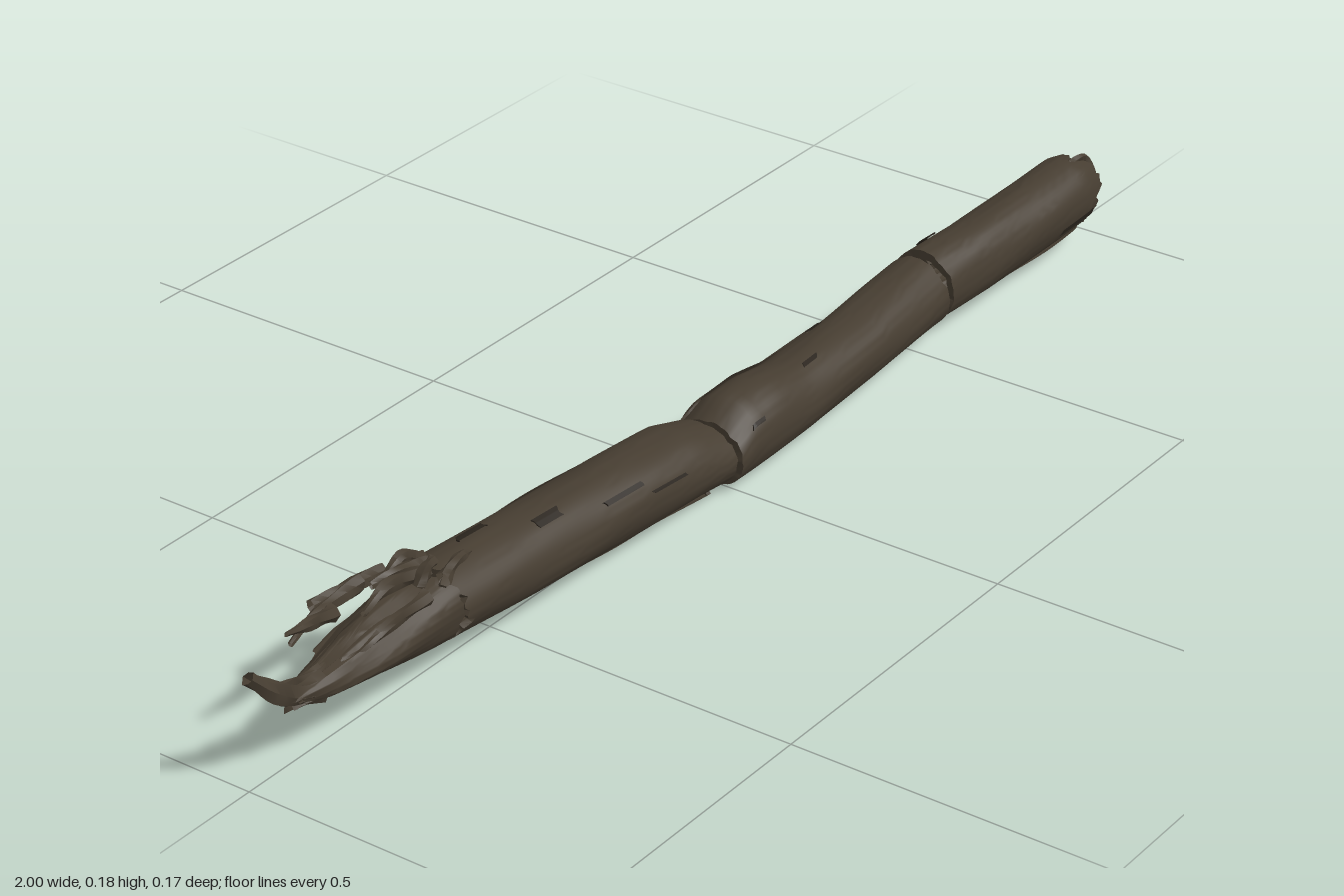
import * as THREE from 'three';
import { toCreasedNormals } from 'three/addons/utils/BufferGeometryUtils.js';

const bark = new THREE.MeshStandardMaterial({ color: 0x463d31, side: THREE.DoubleSide });
bark.name = 'charred bark';
const char = new THREE.MeshStandardMaterial({ color: 0x2a241d, side: THREE.DoubleSide });
char.name = 'dark crevice';

const TAU = Math.PI * 2;

// Smooth noise that closes around the trunk
function wave(a, x, s) {
  return (Math.sin(2 * a + s + 5 * x) + Math.sin(3 * a - 2.1 * s + 13 * x) * 0.8
    + Math.sin(5 * a + 3.7 * s - 21 * x) * 0.6) / 2.4;
}

// Jagged noise for broken ends
function jag(a, s) {
  return (Math.sin(3 * a + s) + Math.sin(8 * a + 2 * s) * 0.8 + Math.sin(17 * a + 3 * s) * 0.7) / 2.5;
}

// Interpolated section: stations are [x, bottom, top, zBack, zFront]
function section(st, x) {
  let i = 0;
  while (i < st.length - 2 && x > st[i + 1][0]) i++;
  const [p, q] = [st[i], st[i + 1]];
  let t = THREE.MathUtils.clamp((x - p[0]) / (q[0] - p[0]), 0, 1);
  return [1, 2, 3, 4].map(k => p[k] + (q[k] - p[k]) * t);
}

// Hollow shell over an angle range; angle 0 is the front, a quarter turn is the top
function shell(name, st, o = {}) {
  const { from = 0, to = TAU, x0 = st[0][0], x1 = st[st.length - 1][0], thick = 0.012,
    lift = 0, ragL = 0.004, ragR = 0.004, slant = 0, seed = 1, rough = 0.0022,
    nx = 28, na = 56, material = bark } = o;
  const rows = 2 * (nx + 1) + 1, pos = [], idx = [];
  for (let j = 0; j <= na; j++) {
    const a = from + (to - from) * j / na;
    const left = x0 + ragL * jag(a, seed), right = x1 + ragR * jag(a, seed + 4) - slant * Math.sin(a);
    for (let r = 0; r < rows; r++) {
      const k = r % (rows - 1), inner = k > nx;
      const u = inner ? 2 * nx + 1 - k : k;
      const x = left + (right - left) * u / nx;
      const [b, t, zb, zf] = section(st, x);
      const d = lift + rough * (wave(a, x, inner ? seed + 2 : seed) - 0.5) - (inner ? thick : 0);
      pos.push(x, (b + t) / 2 + ((t - b) / 2 + d) * Math.sin(a),
        (zb + zf) / 2 + ((zf - zb) / 2 + d) * Math.cos(a));
    }
  }
  for (let j = 0; j < na; j++) for (let r = 0; r < rows - 1; r++) {
    const p = j * rows + r, q = p + rows;
    idx.push(p, p + 1, q + 1, p, q + 1, q);
  }
  const g = new THREE.BufferGeometry();
  g.setAttribute('position', new THREE.Float32BufferAttribute(pos, 3));
  g.setIndex(idx);
  const m = new THREE.Mesh(toCreasedNormals(g, 0.7), material);
  m.name = name;
  return m;
}

// Tapered splinter along a curve, with end radii and a flattening across z
function splinter(name, pts, r0, r1, flat = 0.5, material = bark) {
  const curve = new THREE.CatmullRomCurve3(pts.map(p => new THREE.Vector3(...p)));
  const n = 10, sides = 6, g = new THREE.TubeGeometry(curve, n, 1, sides, false);
  const p = g.attributes.position, v = new THREE.Vector3();
  for (let i = 0; i < p.count; i++) {
    const t = Math.floor(i / (sides + 1)) / n, c = curve.getPointAt(t);
    const r = (r0 + (r1 - r0) * t) * (1 + 0.2 * Math.sin(i % (sides + 1) % sides * 2 + t * 9));
    v.fromBufferAttribute(p, i).sub(c).multiplyScalar(r);
    v.z *= flat;
    v.add(c);
    p.setXYZ(i, v.x, v.y, v.z);
  }
  g.deleteAttribute('normal');
  const m = new THREE.Mesh(toCreasedNormals(g, 0.6), material);
  m.name = name;
  return m;
}

export function createModel() {
  const model = new THREE.Group();
  model.name = 'brokenLog';

  // Outlines of the four trunk pieces
  const tip = [[-0.91, 0.088, 0.12, -0.015, 0.025], [-0.86, 0.075, 0.125, -0.035, 0.035],
    [-0.75, 0.056, 0.138, -0.065, 0.047], [-0.615, 0.04, 0.15, -0.08, 0.053]];
  const middle = [[-0.61, 0.038, 0.15, -0.083, 0.052], [-0.45, 0.024, 0.142, -0.081, 0.056],
    [-0.2, 0.012, 0.134, -0.073, 0.064], [-0.08, 0.008, 0.126, -0.066, 0.067],
    [-0.015, 0.007, 0.108, -0.058, 0.068]];
  const centre = [[-0.008, 0.005, 0.106, -0.052, 0.076], [0.03, 0.004, 0.129, -0.052, 0.079],
    [0.1, 0.006, 0.132, -0.051, 0.08], [0.18, 0.009, 0.12, -0.05, 0.078],
    [0.35, 0.014, 0.124, -0.05, 0.07], [0.55, 0.02, 0.137, -0.058, 0.059]];
  const end = [[0.565, 0.024, 0.138, -0.058, 0.058], [0.68, 0.027, 0.143, -0.048, 0.068],
    [0.85, 0.033, 0.153, -0.04, 0.075], [0.93, 0.036, 0.158, -0.036, 0.076],
    [0.985, 0.044, 0.145, -0.03, 0.064]];

  model.add(
    shell('middleTrunk', middle, { seed: 2, ragL: 0.022 }),
    shell('centreTrunk', centre, { seed: 5, slant: 0.005 }),
    shell('endTrunk', end, { seed: 8, x1: 0.968, ragR: 0.024, slant: 0.004 }),
    shell('tipTrough', tip, { from: 2.75, to: TAU + 0.9, seed: 3, ragL: 0.02, ragR: 0.009, rough: 0.006 }),
    shell('tipRoof', tip, { from: 0.7, to: 1.75, x0: -0.83, x1: -0.625, seed: 6, ragL: 0.05,
      ragR: 0.02, rough: 0.01, thick: 0.008, na: 20 }));

  // Peeling bark layers on the back and underside: outline, from, to, x0, x1
  [[middle, 3.3, 4.3, -0.55, -0.06], [middle, 2.3, 3.0, -0.6, -0.22], [middle, 4.5, 5.3, -0.5, -0.03],
    [centre, 3.4, 4.2, 0.03, 0.5], [centre, 4.5, 5.1, 0.06, 0.53], [centre, 2.2, 2.9, 0.02, 0.3],
    [end, 3.3, 4.1, 0.6, 0.93], [end, 4.4, 5.2, 0.58, 0.95],
    [tip, 3.0, 3.9, -0.8, -0.64]].forEach(([st, from, to, x0, x1], i) =>
    model.add(shell('barkLayer' + (i + 1), st, { from, to, x0, x1, seed: i * 1.7, lift: 0.002,
      thick: 0.003, ragL: 0.03, ragR: 0.03, rough: 0.005, na: 16 })));

  // Dark pits and cracks lying on the bark: outline, angle, width, x0, x1
  [[middle, 1.1, 0.25, -0.42, -0.37], [middle, 0.7, 0.12, -0.3, -0.22], [middle, 1.8, 0.2, -0.53, -0.47],
    [middle, 0.4, 0.08, -0.2, -0.13], [centre, 1.2, 0.12, 0.19, 0.23], [centre, 0.6, 0.1, 0.02, 0.06],
    [centre, 2.1, 0.12, 0.29, 0.32], [end, 2.4, 0.35, 0.61, 0.64], [end, -0.3, 0.12, 0.84, 0.94],
    [centre, 4.35, 0.08, 0.02, 0.5], [middle, 4.4, 0.08, -0.55, -0.05], [end, 4.25, 0.1, 0.6, 0.9]
  ].forEach(([st, a, w, x0, x1], i) =>
    model.add(shell('crack' + (i + 1), st, { from: a - w / 2, to: a + w / 2, x0, x1, seed: i,
      lift: 0.0022, thick: 0.002, rough: 0.001, ragL: 0.01, ragR: 0.01, nx: 10, na: 8, material: char })));

  // Upturned point at the narrow end
  model.add(
    splinter('hornTip', [[-0.86, 0.098, 0.01], [-0.91, 0.108, 0.008], [-0.96, 0.142, 0.008], [-0.997, 0.178, 0.006]],
      0.02, 0.011, 0.7),
    splinter('hornBarb', [[-0.84, 0.1, -0.012], [-0.9, 0.112, -0.012], [-0.945, 0.125, -0.016]], 0.012, 0.004, 0.6));

  // Loose splinters around the broken top: points, start and end radius
  [[[[-0.88, 0.172, -0.03], [-0.84, 0.162, -0.035], [-0.77, 0.145, -0.045]], 0.004, 0.014],
    [[[-0.84, 0.125, -0.06], [-0.78, 0.135, -0.072], [-0.68, 0.135, -0.075]], 0.004, 0.014],
    [[[-0.77, 0.14, -0.083], [-0.71, 0.138, -0.08], [-0.63, 0.128, -0.078]], 0.01, 0.012],
    [[[-0.75, 0.145, -0.01], [-0.7, 0.158, -0.015], [-0.62, 0.148, -0.01]], 0.006, 0.015],
    [[[-0.71, 0.162, -0.03], [-0.66, 0.165, -0.02], [-0.61, 0.15, -0.015]], 0.006, 0.013],
    [[[-0.66, 0.15, 0.01], [-0.645, 0.172, 0.012], [-0.625, 0.174, 0.008]], 0.012, 0.009],
    [[[-0.62, 0.145, 0.02], [-0.58, 0.152, 0.01], [-0.54, 0.142, 0]], 0.012, 0.006],
    [[[-0.8, 0.118, 0.02], [-0.74, 0.135, 0.025], [-0.66, 0.14, 0.025]], 0.005, 0.013],
    [[[-0.67, 0.158, -0.035], [-0.64, 0.17, -0.035], [-0.6, 0.152, -0.03]], 0.009, 0.01]
  ].forEach(([pts, r0, r1], i) => model.add(splinter('splinter' + (i + 1), pts, r0, r1, 0.8)));

  // Ragged fibres at the wide end
  [[[[0.93, 0.148, 0.03], [0.97, 0.147, 0.035], [0.975, 0.115, 0.05]], 0.008, 0.006],
    [[[0.95, 0.05, 0.04], [0.985, 0.06, 0.03], [0.99, 0.09, 0.01]], 0.01, 0.005],
    [[[0.94, 0.05, -0.015], [0.98, 0.07, -0.02], [0.992, 0.1, -0.018]], 0.01, 0.006]
  ].forEach(([pts, r0, r1], i) => model.add(splinter('endFibre' + (i + 1), pts, r0, r1, 0.8)));

  // Crumpled inner wood seen through the wide end
  for (let i = 0; i < 3; i++) {
    model.add(shell('innerWood' + (i + 1), end, { from: 2.4 + i * 0.9, to: 3.9 + i * 0.9, x0: 0.6, x1: 0.94 - i * 0.05,
      lift: -0.02, thick: 0.004, rough: 0.014, ragR: 0.05, seed: i * 3, nx: 14, na: 14 }));
  }
  return model;
}
